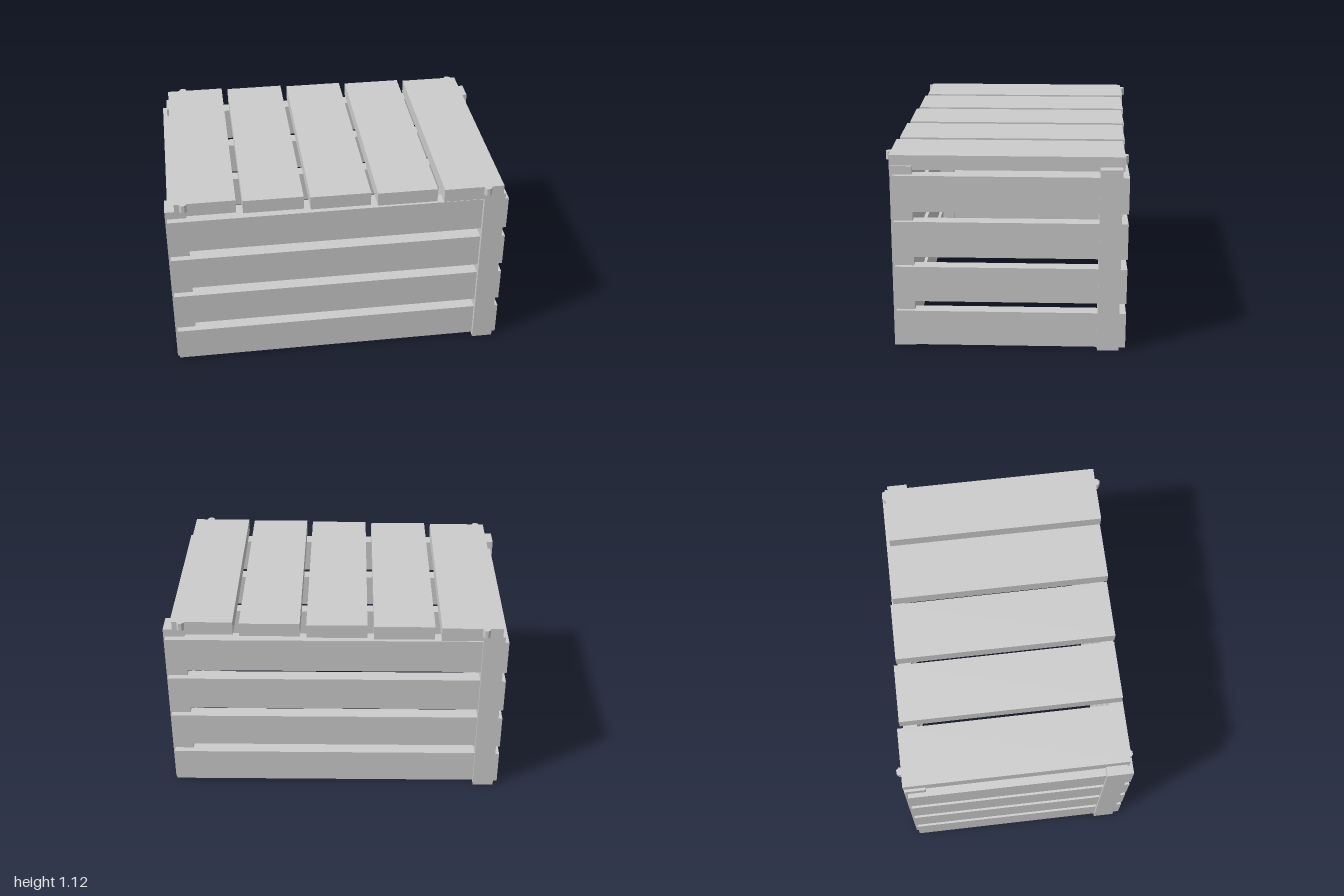
import * as THREE from 'three';

const material = new THREE.MeshStandardMaterial({ color: 0xcccccc, flatShading: true });
const TILT = THREE.MathUtils.degToRad(2); // every board is nailed slightly askew

export function createModel() {
  const crate = new THREE.Group();
  crate.name = 'crate';

  const add = (parent, name, geometry, x, y, z, turn = 0) => {
    const mesh = new THREE.Mesh(geometry, material);
    mesh.name = name;
    mesh.position.set(x, y, z);
    mesh.rotation.y = turn;
    parent.add(mesh);
  };

  // Square corner posts
  const posts = new THREE.Group();
  posts.name = 'cornerPosts';
  const postGeo = new THREE.BoxGeometry(0.122, 1.064, 0.122);
  for (const sx of [-1, 1])
    for (const sz of [-1, 1])
      add(posts, 'cornerPost', postGeo, sx * 0.912, 0.532, sz * 0.578, TILT);
  crate.add(posts);

  // Four rows of wall slats: one end lies outside its post, the other sinks into the next
  const walls = new THREE.Group();
  walls.name = 'wallSlats';
  const longGeo = new THREE.BoxGeometry(1.92, 0.206, 0.08);
  const shortGeo = new THREE.BoxGeometry(0.08, 0.206, 1.24);
  for (let row = 0; row < 4; row++) {
    const y = 0.118 + row * 0.2653;
    add(walls, 'frontSlat', longGeo, 0, y, 0.605, TILT);
    add(walls, 'backSlat', longGeo, 0, y, -0.605, TILT);
    add(walls, 'leftSlat', shortGeo, 0.9385, y, 0, TILT);
    add(walls, 'rightSlat', shortGeo, -0.9385, y, 0, TILT);
  }
  crate.add(walls);

  // Lid boards
  const lid = new THREE.Group();
  lid.name = 'lid';
  const lidGeo = new THREE.BoxGeometry(0.345, 0.082, 1.296);
  for (let i = -2; i <= 2; i++) add(lid, 'lidBoard', lidGeo, i * 0.3825, 1.081, 0, TILT);

  // Small pegs on the lid's ends
  const pegGeo = new THREE.CylinderGeometry(0.023, 0.023, 0.047, 8);
  for (const sx of [-1, 1])
    for (const sz of [-1, 1])
      add(lid, 'lidPeg', pegGeo, sx * 0.865, 1.0985, sz * 0.649, Math.PI / 8);
  crate.add(lid);

  return crate;
}
